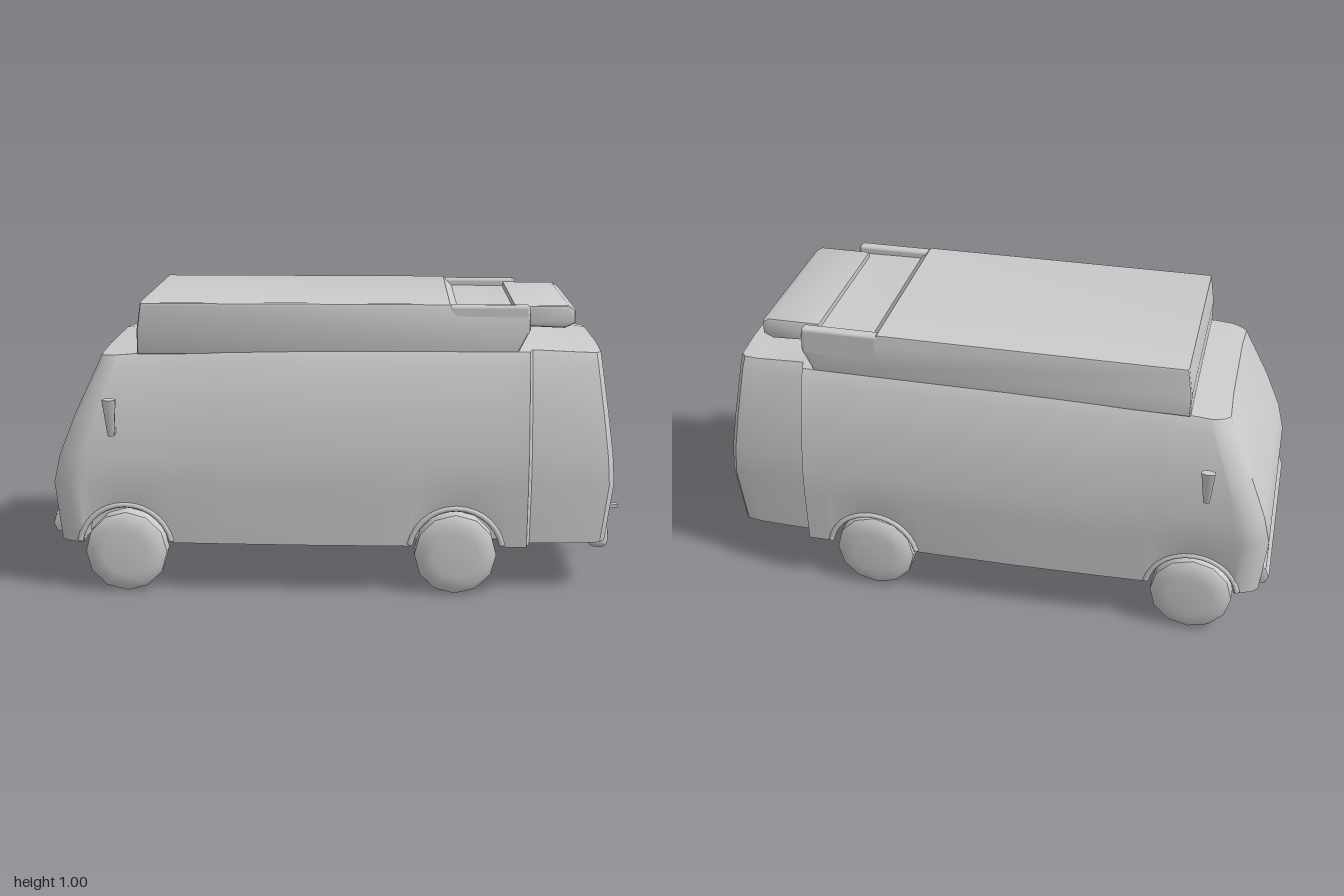
import * as THREE from 'three';
import { toCreasedNormals } from 'three/addons/utils/BufferGeometryUtils.js';
import { RoundedBoxGeometry } from 'three/addons/geometries/RoundedBoxGeometry.js';

const grey = new THREE.MeshStandardMaterial({ color: 0xcccccc, side: THREE.DoubleSide });
const AXLES = [-0.74, 0.39];
const ARCH_R = 0.16;

function add(parent, name, geometry, x = 0, y = 0, z = 0) {
  const mesh = new THREE.Mesh(geometry, grey);
  mesh.name = name;
  mesh.position.set(x, y, z);
  parent.add(mesh);
  return mesh;
}

// Skin over a list of symmetric rings, with flat strips closing both ends
function loft(rings) {
  const n = rings[0].length, idx = [];
  for (let s = 0; s < rings.length - 1; s++) {
    for (let i = 0; i < n; i++) {
      const j = (i + 1) % n, a = s * n + i, b = s * n + j;
      idx.push(a, a + n, b + n, a, b + n, b);
    }
  }
  const end = (rings.length - 1) * n;
  for (let i = 0; i < n / 2 - 1; i++) {
    const a = i, b = i + 1, c = n - 2 - i, d = n - 1 - i;
    idx.push(a, b, c, a, c, d);
    idx.push(end + a, end + c, end + b, end + a, end + d, end + c);
  }
  const g = new THREE.BufferGeometry();
  g.setAttribute('position', new THREE.Float32BufferAttribute(rings.flat(2), 3));
  g.setIndex(idx);
  return toCreasedNormals(g, 0.6);
}

// Side outline in x and y, given a width across z
function slab(points, halfWidth, bevel = 0.012) {
  const shape = new THREE.Shape(points.map(p => new THREE.Vector2(...p)));
  const g = new THREE.ExtrudeGeometry(shape, {
    depth: 2 * (halfWidth - bevel), bevelEnabled: true, bevelSize: bevel,
    bevelOffset: -bevel, bevelThickness: bevel, bevelSegments: 2
  });
  g.translate(0, 0, -(halfWidth - bevel));
  return toCreasedNormals(g, 0.7);
}

function archHeight(x) {
  let y = 0.175;
  for (const cx of AXLES) {
    const d = ARCH_R ** 2 - (x - cx) ** 2;
    if (d > 0) y = Math.max(y, 0.15 + Math.sqrt(d));
  }
  return y;
}

// One body cross-section: bulged side, sloping nose and tail
function bodyRing(u, w) {
  const arch = archHeight(u);
  const half = [
    [0.29, 0.165], [0.29, arch], [0.415, arch], [0.428, 0.38], [0.428, 0.48],
    [0.408, 0.62], [0.37, 0.8], [0.348, 0.838], [0.2, 0.85]
  ];
  const front = THREE.MathUtils.clamp((-0.5 - u) / 0.48, 0, 1);
  const rear = THREE.MathUtils.clamp((u - 0.63) / 0.3, 0, 1);
  const place = (z, y) => {
    const nose = Math.max(0, y - 0.42) * 0.4 + Math.max(0, 0.25 - y) * 0.25;
    const tail = Math.max(0, y - 0.42) * 0.13 + Math.max(0, 0.3 - y) * 0.2;
    const drop = y > 0.7 ? 0.025 * front + 0.012 * rear : 0;
    return [u + nose * front - tail * rear, y - drop, z * w];
  };
  return [...half.map(([z, y]) => place(z, y)),
    ...half.slice().reverse().map(([z, y]) => place(-z, y))];
}

function bodyGeometry() {
  const stations = [[-0.985, 0.86], [-0.965, 0.915], [-0.93, 0.95]];
  for (const cx of AXLES) {
    for (let k = 0; k <= 12; k++) {
      const x = cx - ARCH_R * Math.cos(Math.PI * k / 12);
      stations.push([x, x < -0.4 ? 0.97 : 1]);
    }
    if (cx < 0) stations.push([-0.4, 0.985], [-0.1, 1]);
  }
  // narrower tail section behind a step
  stations.push([0.63, 1], [0.645, 0.88], [0.85, 0.865], [0.91, 0.84], [0.93, 0.78]);
  return loft(stations.map(([u, w]) => bodyRing(u, w)));
}

function wheelGeometry() {
  const profile = [[0, -0.05], [0.08, -0.05], [0.12, -0.045], [0.14, -0.03],
    [0.14, 0.03], [0.12, 0.045], [0.08, 0.05], [0, 0.05]];
  const g = new THREE.LatheGeometry(profile.map(p => new THREE.Vector2(...p)), 12);
  g.rotateX(Math.PI / 2);
  return toCreasedNormals(g, 0.7);
}

export function createModel() {
  const van = new THREE.Group();
  van.name = 'camperVan';
  const parts = new THREE.Group();
  parts.name = 'vanParts';
  parts.position.z = -0.01;
  van.add(parts);

  add(parts, 'body', bodyGeometry());

  // High roof with a lower deck behind it, undercut at the back
  add(parts, 'highRoof', slab([[-0.69, 0.82], [-0.69, 0.9], [-0.675, 0.998], [0.36, 0.998],
    [0.39, 0.968], [0.63, 0.965], [0.63, 0.91], [0.59, 0.83]], 0.35));
  add(parts, 'roofTail', slab([[0.58, 0.915], [0.75, 0.908], [0.785, 0.925], [0.785, 0.97],
    [0.76, 0.985], [0.58, 0.985]], 0.292));

  for (const s of [1, -1]) {
    const side = s > 0 ? 'left' : 'right';
    add(parts, side + 'DeckRail', new RoundedBoxGeometry(0.27, 0.1, 0.04, 2, 0.012), 0.492, 0.943, s * 0.33);

    // Wheels and arch lips
    AXLES.forEach((cx, i) => {
      const end = i === 0 ? 'Front' : 'Rear';
      add(parts, side + end + 'Wheel', wheelGeometry(), cx, 0.14, s * 0.365);
      const lip = new THREE.TorusGeometry(ARCH_R, 0.01, 6, 14, Math.PI - 0.4);
      lip.rotateZ(0.2);
      add(parts, side + end + 'ArchLip', lip, cx, 0.15, s * (i === 0 ? 0.402 : 0.416));
    });

    // Door mirror: a leaning blade, wider at the top
    const blade = new THREE.CylinderGeometry(0.026, 0.012, 0.13, 6);
    blade.scale(1, 1, 0.5);
    const mirror = add(parts, side + 'Mirror', blade, -0.77, 0.625, s * 0.448);
    mirror.rotation.x = s * 0.15;
    add(parts, side + 'MirrorArm', new THREE.BoxGeometry(0.02, 0.02, 0.05), -0.77, 0.57, s * 0.415);

    // Chassis rails under the floor
    add(parts, side + 'ChassisRail', new THREE.BoxGeometry(1.45, 0.04, 0.06), -0.15, 0.152, s * 0.17);
  }

  // Axles with the rear drive housing hanging lowest
  AXLES.forEach((cx, i) => {
    const axle = new THREE.CylinderGeometry(0.02, 0.02, 0.66, 8);
    axle.rotateX(Math.PI / 2);
    add(parts, i === 0 ? 'frontAxle' : 'rearAxle', axle, cx, 0.135, 0);
  });
  const housing = new THREE.SphereGeometry(1, 4, 2);
  housing.scale(0.1, 0.065, 0.3);
  add(parts, 'driveHousing', toCreasedNormals(housing, 0.5), 0.39, 0.137, 0);
  add(parts, 'gearbox', new RoundedBoxGeometry(0.3, 0.06, 0.24, 2, 0.02), -0.45, 0.15, 0);
  add(parts, 'engineTray', new RoundedBoxGeometry(0.3, 0.05, 0.46, 2, 0.02), 0.73, 0.157, 0);

  // Bumpers and tow bar
  const bumperEnd = [[-0.945, 0.2], [-0.985, 0.2], [-0.998, 0.23], [-0.985, 0.265], [-0.945, 0.265]];
  add(parts, 'frontBumper', slab(bumperEnd, 0.36, 0.006));
  add(parts, 'rearBumper', new RoundedBoxGeometry(0.07, 0.08, 0.6, 2, 0.025), 0.89, 0.175, 0);
  const towBar = add(parts, 'towBar', new THREE.BoxGeometry(0.14, 0.012, 0.025), 0.93, 0.195, 0);
  towBar.rotation.z = 0.15;

  return van;
}
